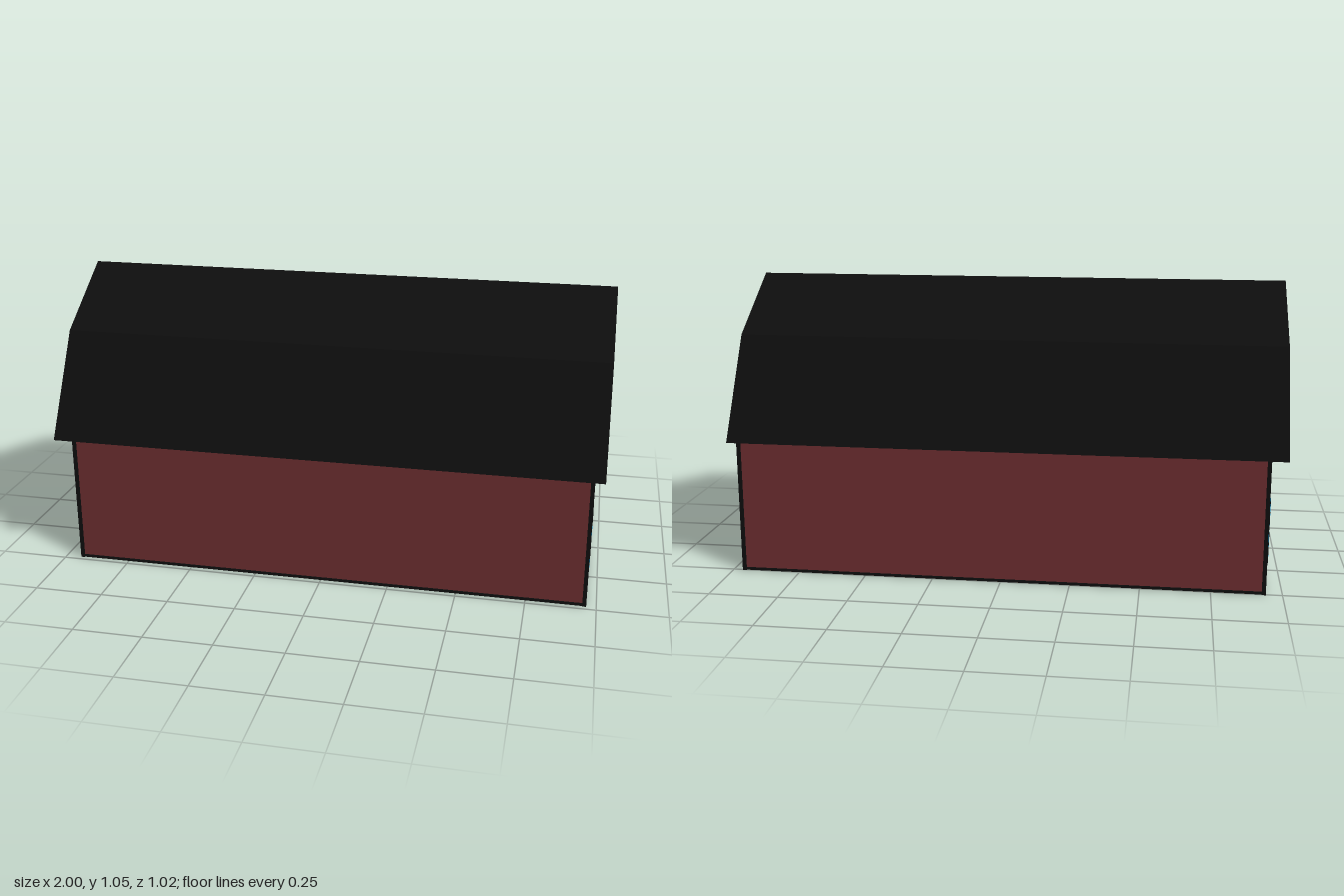
import * as THREE from 'three';

const mat = (name, color) => {
  const m = new THREE.MeshStandardMaterial({ color });
  m.name = name;
  return m;
};

export function createModel() {
  const red = mat('barn red', 0x6b2d2f);
  const black = mat('trim black', 0x0d0d0d);
  const blue = mat('window blue', 0x0f93d0);
  const tan = mat('door tan', 0xa0764d);

  const barn = new THREE.Group();
  barn.name = 'barn';

  // Box given by its minimum and maximum along each axis
  const box = (parent, name, m, x0, x1, y0, y1, z0, z1) => {
    const mesh = new THREE.Mesh(new THREE.BoxGeometry(x1 - x0, y1 - y0, z1 - z0), m);
    mesh.position.set((x0 + x1) / 2, (y0 + y1) / 2, (z0 + z1) / 2);
    mesh.name = name;
    parent.add(mesh);
    return mesh;
  };

  // Profile of [z, y] points swept along x
  const sweep = (name, m, points, x0, x1) => {
    const shape = new THREE.Shape(points.map(([z, y]) => new THREE.Vector2(-z, y)));
    const geo = new THREE.ExtrudeGeometry(shape, { depth: x1 - x0, bevelEnabled: false });
    geo.rotateY(Math.PI / 2);
    geo.translate(x0, 0, 0);
    const mesh = new THREE.Mesh(geo, m);
    mesh.name = name;
    barn.add(mesh);
  };

  const X0 = -0.937, X1 = 0.96, Z0 = -0.5, Z1 = 0.478;

  // Gambrel roof shell and the walls with their gables
  const outer = [[0.512, 0.487], [0.302, 0.85], [0, 1.046], [-0.302, 0.85], [-0.512, 0.487]];
  const inner = [[-0.505, 0.49], [-0.297, 0.84], [0, 1.033], [0.297, 0.84], [0.505, 0.49]];
  sweep('roof', black, [...outer, ...inner], -1, 1);
  box(barn, 'walls', red, X0, X1, 0.006, 0.49, Z0, Z1);
  sweep('gables', red, inner, X0, X1);
  box(barn, 'floor', tan, X0, X1, 0, 0.006, Z0, Z1);

  // Black trim: sills, corner posts and gable bands
  const t = 0.005;
  for (const [x0, x1] of [[X0 - t, X0 + 0.009], [X1 - 0.009, X1 + t]]) {
    for (const [z0, z1] of [[Z0 - t, Z0 + 0.01], [Z1 - 0.01, Z1 + t]])
      box(barn, 'cornerPost', black, x0, x1, 0, 0.49, z0, z1);
    box(barn, 'endSill', black, x0, x1, 0.002, 0.013, Z0 - t, Z1 + t);
    box(barn, 'gableBand', black, x0, x1, 0.484, 0.495, -0.506, Z1 + t);
  }
  for (const [z0, z1] of [[Z0 - t, Z0 + 0.004], [Z1 - 0.004, Z1 + t]])
    box(barn, 'sideSill', black, X0, X1, 0.002, 0.011, z0, z1);

  // Small sash window: blue upper sash over a black lower sash with two panes
  const smallWindow = (parent, z, y0, d) => {
    const w = new THREE.Group();
    w.name = 'smallWindow';
    parent.add(w);
    const y1 = y0 + 0.122, mid = y0 + 0.06;
    box(w, 'windowFrame', black, 0, d * 0.6, y0, y1, z - 0.046, z + 0.046);
    box(w, 'lowerSash', black, 0, d, y0, mid, z - 0.046, z + 0.046);
    box(w, 'upperSash', blue, 0, d, mid, y1 - 0.006, z - 0.041, z + 0.041);
    box(w, 'mullion', black, d, d + 0.001, mid, y1 - 0.008, z - 0.002, z + 0.002);
    for (const s of [-1, 1]) {
      const c = z + s * 0.02;
      box(w, 'lowerPane', blue, d, d + 0.001, y0 + 0.012, mid, c - 0.0165, c + 0.0165);
      box(w, 'upperSashEdge', black, d, d + 0.001, mid, y1 - 0.008, z + s * 0.038 - 0.001, z + s * 0.038 + 0.001);
    }
    box(w, 'upperSashRail', black, d, d + 0.001, y1 - 0.014, y1 - 0.012, z - 0.038, z + 0.038);
  };

  // Large four-pane loft window
  const loftWindow = (parent, d) => {
    const w = new THREE.Group();
    w.name = 'loftWindow';
    parent.add(w);
    box(w, 'loftFrame', black, 0, d, 0.628, 0.944, -0.133, 0.13);
    for (const [z0, z1] of [[-0.117, -0.014], [0.01, 0.115]])
      for (const [y0, y1] of [[0.646, 0.772], [0.8, 0.925]])
        box(w, 'loftPane', blue, d, d + 0.001, y0, y1, z0, z1);
  };

  // Double door: tan lower half, black upper half with four tan panels
  const doubleDoor = (parent, d) => {
    const g = new THREE.Group();
    g.name = 'doubleDoor';
    parent.add(g);
    box(g, 'doorLower', tan, 0, d, 0.012, 0.19, -0.16, 0.14);
    box(g, 'doorUpper', black, 0, d, 0.19, 0.317, -0.163, 0.143);
    box(g, 'doorGap', black, d, d + 0.001, 0.03, 0.19, -0.0115, -0.0085);
    for (const c of [0.1, 0.03, -0.052, -0.122]) {
      box(g, 'upperPanel', tan, d, d + 0.002, 0.17, 0.291, c - 0.031, c + 0.031);
      // Fine grooves around each lower panel
      for (const y of [0.04, 0.162])
        box(g, 'panelGroove', black, d, d + 0.0025, y, y + 0.001, c - 0.031, c + 0.031);
      for (const s of [-1, 1])
        box(g, 'panelGroove', black, d, d + 0.0005, 0.04, 0.162, c + s * 0.031 - 0.0005, c + s * 0.031 + 0.0005);
    }
  };

  // Both end walls carry the same fittings
  const end = (name, d) => {
    const g = new THREE.Group();
    g.name = name;
    loftWindow(g, Math.min(d, 0.01));
    doubleDoor(g, Math.min(d, 0.009));
    for (const z of [0.3, -0.354])
      for (const y of [0.07, 0.195]) smallWindow(g, z, y, d);
    for (const z of [0.216, -0.246]) smallWindow(g, z, 0.599, d);
    barn.add(g);
    return g;
  };
  end('leftEnd', 0.007).position.x = X1;
  const rightEnd = end('rightEnd', 0.018);
  rightEnd.rotation.y = Math.PI;
  rightEnd.position.set(X0, 0, -0.022);

  return barn;
}
